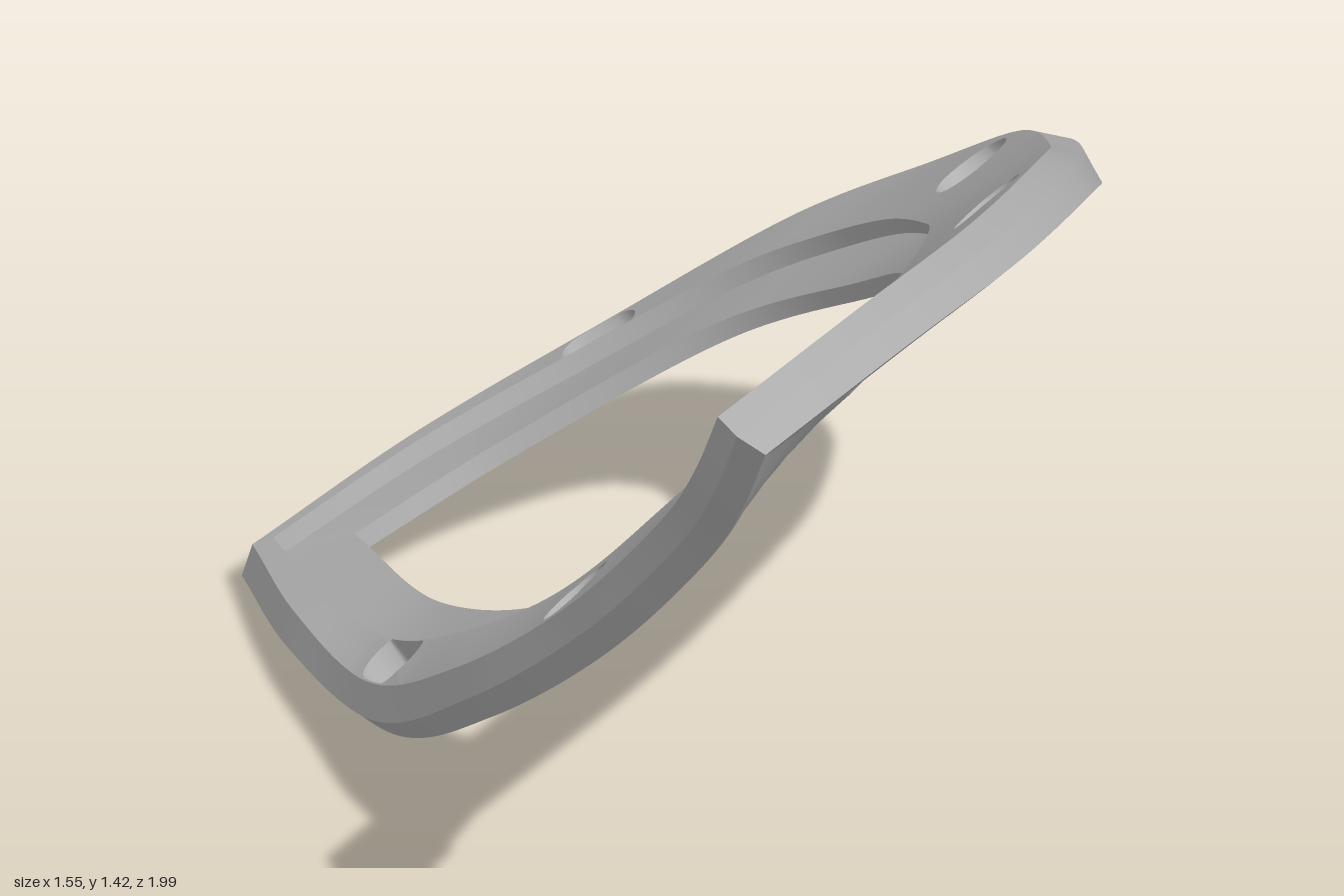
import * as THREE from 'three';

const N = 120; // samples along each side of the ring
const V = (p) => new THREE.Vector3(...p);
const curve = (pts) => {
  const c = new THREE.CatmullRomCurve3(pts.map(V), false, 'centripetal');
  return c.getSpacedPoints(N);
};

// Mid-thickness edge curves, each running from the low tip to the high tip
const lowTip = [-0.75, 0.05, -0.43], highTip = [0.66, 1.42, 0.99];
const lowCorner = [-0.57, 0.14, -0.46], highCorner = [0.51, 1.04, 0.2];
const outerBack = curve([lowTip, [-0.57, 0.16, -0.69], [-0.3, 0.32, -0.91], [0, 0.54, -1],
  [0.25, 0.72, -0.95], [0.46, 0.91, -0.8], [0.63, 1.09, -0.5], [0.73, 1.25, -0.2],
  [0.77, 1.36, 0.2], [0.74, 1.42, 0.6], highTip]);
const outerFront = curve([lowTip, [-0.58, 0.09, -0.2], [-0.33, 0.16, 0.06], [-0.08, 0.38, 0.28],
  [0.2, 0.68, 0.48], [0.43, 0.99, 0.66], [0.57, 1.23, 0.86], highTip]);
const innerBack = curve([lowCorner, [-0.4, 0.25, -0.62], [-0.07, 0.49, -0.72], [0.2, 0.68, -0.62],
  [0.38, 0.86, -0.4], [0.47, 0.96, -0.1], highCorner]);
const innerFront = curve([lowCorner, [-0.3, 0.24, -0.17], [0, 0.44, 0.04], [0.25, 0.72, 0.14], highCorner]);

// Point on the plate: column i runs up the back side (0..N) and down the front side (N..2N);
// v goes from outer to inner edge, inset is an extra distance inward, h the height off mid-surface
function plate(i, [v, inset, h]) {
  const back = i <= N, k = back ? i : 2 * N - i;
  const o = (back ? outerBack : outerFront)[k], q = (back ? innerBack : innerFront)[k];
  const across = q.clone().sub(o);
  const p = o.clone().addScaledVector(across, v).addScaledVector(across.normalize(), inset);
  const slope = 0.3 + 0.95 * (o.x * (1 - v) + q.x * v + 0.75);
  return p.addScaledVector(new THREE.Vector3(-slope, 1, 0).normalize(), h);
}
const along = (i) => (i <= N ? i : 2 * N - i) / N;

// Ring cross-section
const rim = () => [0, 0, 0.005];
const topRim = () => [0, 0.032, 0.05];
const lowRim = () => [0, 0.025, -0.045];
const ledgeV = (i) => { const t = along(i); return 0.35 + 0.7 * t - 0.16 * t * t; };
const ledgeTop = (i) => [ledgeV(i), 0, 0.05];
const ledgeLow = (i) => [ledgeV(i), 0, 0.018];
const holeTop = () => [1, 0, 0.015];

function geometry(points, index) {
  const g = new THREE.BufferGeometry().setFromPoints(points);
  g.setIndex(index);
  g.computeVertexNormals();
  return g;
}

// Surface between two section points, for columns i0..i1
function band(i0, i1, a, b, rows = 1) {
  const pts = [], idx = [];
  for (let i = i0; i <= i1; i++) {
    const A = plate(i, a(i)), B = plate(i, b(i));
    for (let j = 0; j <= rows; j++) pts.push(A.clone().lerp(B, j / rows));
  }
  const at = (i, j) => i * (rows + 1) + j;
  for (let i = 0; i < i1 - i0; i++) for (let j = 0; j < rows; j++)
    idx.push(at(i, j), at(i, j + 1), at(i + 1, j), at(i + 1, j), at(i, j + 1), at(i + 1, j + 1));
  return { pts, idx, at };
}

// Upper face with round blind pockets: a patch of the grid is replaced by a ring round each pocket
function upperFace(pockets) {
  const M = 28, { pts, at } = band(0, 2 * N, topRim, ledgeTop, M);
  const cut = new Set(), idx = [], walls = [], floors = [];
  for (const [x, z, r] of pockets) {
    let best = 0;
    const d2 = (p) => (p.x - x) ** 2 + (p.z - z) ** 2;
    pts.slice(0, (2 * N + 1) * (M + 1)).forEach((p, k) => { if (d2(p) < d2(pts[best])) best = k; });
    const c = pts[best].clone(), ci = Math.floor(best / (M + 1)), cj = best % (M + 1);
    let i0 = Math.max(ci - 1, 0), i1 = Math.min(ci + 1, 2 * N);
    let j0 = Math.max(cj - 1, 0), j1 = Math.min(cj + 1, M);
    const near = (k) => pts[k].distanceTo(c) < r * 1.12;
    const col = (i) => { for (let j = j0; j <= j1; j++) if (near(at(i, j))) return true; return false; };
    const row = (j) => { for (let i = i0; i <= i1; i++) if (near(at(i, j))) return true; return false; };
    for (let grown = true; grown;) {
      grown = false;
      if (i0 > 0 && col(i0)) { i0--; grown = true; }
      if (i1 < 2 * N && col(i1)) { i1++; grown = true; }
      if (j0 > 0 && row(j0)) { j0--; grown = true; }
      if (j1 < M && row(j1)) { j1++; grown = true; }
    }
    for (let i = i0; i < i1; i++) for (let j = j0; j < j1; j++) cut.add(at(i, j));
    const edge = [];
    for (let j = j0; j < j1; j++) edge.push(at(i0, j));
    for (let i = i0; i < i1; i++) edge.push(at(i, j1));
    for (let j = j1; j > j0; j--) edge.push(at(i1, j));
    for (let i = i1; i > i0; i--) edge.push(at(i, j0));
    // Pocket mouth, wall and floor
    const n = edge.length, first = pts.length;
    const slope = 0.3 + 0.95 * (c.x + 0.75);
    const down = new THREE.Vector3(slope, -1, 0).normalize().multiplyScalar(0.05);
    const mouth = edge.map((k) => {
      const d = pts[k].clone().sub(c), len = d.length();
      return c.clone().addScaledVector(d, Math.min(r, len * 0.94) / len);
    });
    const base = mouth.map((p) => p.clone().add(down));
    pts.push(...mouth);
    const wallIdx = [], floorIdx = [];
    for (let k = 0; k < n; k++) {
      const m = (k + 1) % n;
      idx.push(edge[k], edge[m], first + k, first + k, edge[m], first + m);
      wallIdx.push(k, m, n + k, n + k, m, n + m);
      floorIdx.push(k, m, n);
    }
    walls.push(geometry([...mouth, ...base], wallIdx));
    floors.push(geometry([...base, c.clone().add(down)], floorIdx));
  }
  for (let i = 0; i < 2 * N; i++) for (let j = 0; j < M; j++) if (!cut.has(at(i, j)))
    idx.push(at(i, j), at(i, j + 1), at(i + 1, j), at(i + 1, j), at(i, j + 1), at(i + 1, j + 1));
  return { face: geometry(pts, idx), walls, floors };
}

export function createModel() {
  const model = new THREE.Group();
  model.name = 'curvedRingPlate';
  const grey = new THREE.MeshStandardMaterial({ color: 0xb0b0b0, side: THREE.DoubleSide });
  grey.name = 'plain grey';
  const add = (name, g) => {
    const mesh = new THREE.Mesh(g, grey);
    mesh.name = name;
    model.add(mesh);
  };

  // Upper face: x, z and radius of each pocket
  const { face, walls, floors } = upperFace([
    [-0.31, -0.82, 0.066], [0.33, -0.75, 0.068], [0.6, -0.15, 0.066],
    [0.54, 0.55, 0.095], [0.12, 0.33, 0.066], [-0.32, 0, 0.066]]);
  add('upperFace', face);
  walls.forEach((g) => add('pocketWall', g));
  floors.forEach((g) => add('pocketFloor', g));

  // Rim, ledge, hole wall and stepped underside strips, once for each side of the ring
  const steps = [0.1, 0.33, 0.56, 0.79, 1], drop = 0.007;
  for (const [side, i0, i1] of [['back', 0, N], ['front', N, 2 * N]]) {
    const part = (name, a, b, rows) => {
      const { pts, idx } = band(i0, i1, a, b, rows);
      add(side + name, geometry(pts, idx));
    };
    part('UpperRim', rim, topRim);
    part('LowerRim', lowRim, rim);
    part('LedgeStep', ledgeTop, ledgeLow);
    part('Ledge', ledgeLow, holeTop);
    let from = lowRim, h = -0.045;
    steps.forEach((v, k) => {
      const level = h, to = () => [v, 0, level];
      part('Strip', to, from, 4);
      h += drop;
      const next = h;
      from = k < steps.length - 1 ? () => [v, 0, next] : holeTop;
      part(k < steps.length - 1 ? 'StripStep' : 'HoleWall', from, to);
    });
  }
  return model;
}
